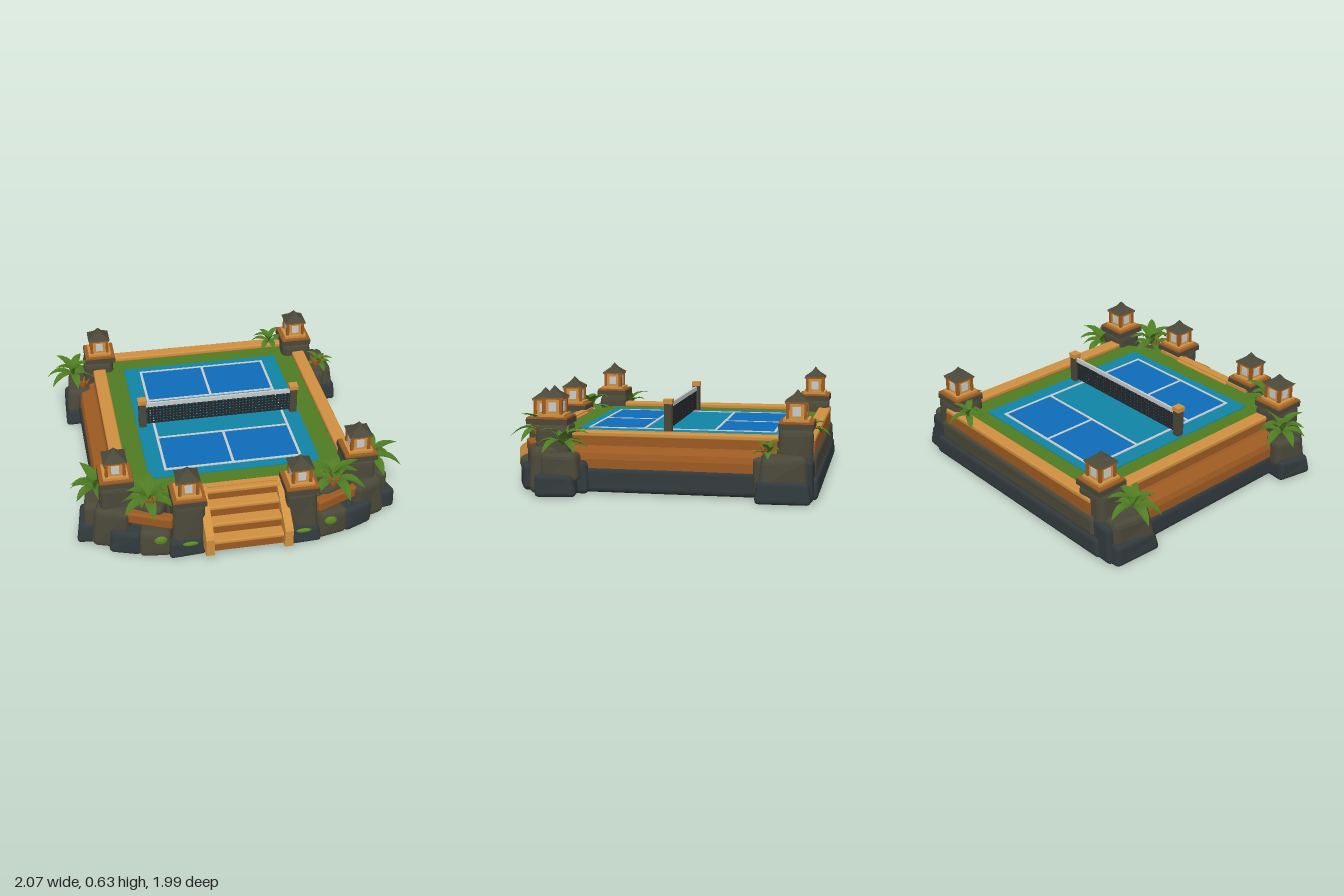
import * as THREE from 'three';
import { RoundedBoxGeometry } from 'three/addons/geometries/RoundedBoxGeometry.js';

const mat = (name, color, side = THREE.FrontSide) => {
  const m = new THREE.MeshStandardMaterial({ color, side });
  m.name = name;
  return m;
};

export function createModel() {
  const root = new THREE.Group();
  root.name = 'courtDiorama';
  const lightWood = mat('lightWood', 0xcf9040), darkWood = mat('darkWood', 0x9c5a22);
  const stone = mat('stone', 0x4a4839), darkStone = mat('darkStone', 0x323a3d);
  const green = mat('green', 0x4f7c22, THREE.DoubleSide), moss = mat('moss', 0x5f8c22);
  const teal = mat('teal', 0x1084a6), blue = mat('blue', 0x0e6cba);
  const white = mat('white', 0xc8cccc), netBlack = mat('netBlack', 0x24282b);

  let seed = 7;
  const rand = () => (seed = (seed * 16807) % 2147483647) / 2147483647;

  const add = (name, geo, m, x = 0, y = 0, z = 0, parent = root) => {
    const mesh = new THREE.Mesh(geo, m);
    mesh.name = name;
    mesh.position.set(x, y, z);
    parent.add(mesh);
    return mesh;
  };
  // box given by its lower and upper height
  const box = (name, m, x, z, w, d, y0, y1, parent = root) =>
    add(name, new THREE.BoxGeometry(w, y1 - y0, d), m, x, (y0 + y1) / 2, z, parent);
  // horizontal slab from a plan outline of [x, z] points
  const slab = (name, m, pts, y0, y1) => {
    const s = new THREE.Shape(pts.map(([x, z]) => new THREE.Vector2(x, -z)));
    const g = new THREE.ExtrudeGeometry(s, { depth: y1 - y0, bevelEnabled: false });
    return add(name, g.rotateX(-Math.PI / 2), m, 0, y0, 0);
  };
  // worn boulder: rounded block, tapered and gently warped
  const rock = (name, m, x, z, w, d, y0, y1, turn = 0, taper = 0.1) => {
    const h = y1 - y0;
    const g = new RoundedBoxGeometry(w, h, d, 2, Math.min(w, h, d) * 0.2);
    const p = g.attributes.position;
    const ph = rand() * 6;
    for (let i = 0; i < p.count; i++) {
      const a = p.getX(i), b = p.getY(i), c = p.getZ(i);
      const k = 1 - taper * (b / h + 0.5);
      p.setXYZ(i, a * k + 0.007 * Math.sin(9 * b + 13 * c + ph),
        b + (b > 0 ? 0.008 * Math.sin(11 * a + 9 * c + ph) : 0),
        c * k + 0.007 * Math.sin(12 * a + 10 * b + ph));
    }
    g.computeVertexNormals();
    add(name, g, m, x, (y0 + y1) / 2, z).rotation.y = turn;
  };

  // foundation
  slab('foundation', darkStone, [[-0.76, -0.86], [0.72, -0.86], [0.72, 0.6], [0.45, 0.8],
    [-0.45, 0.8], [-0.76, 0.6]], 0.01, 0.2);
  slab('innerFill', stone, [[-0.7, -0.86], [0.7, -0.86], [0.7, 0.58], [0.45, 0.74],
    [-0.45, 0.74], [-0.7, 0.58]], 0.2, 0.3);
  rock('rightBase', darkStone, -0.77, -0.05, 0.16, 1.4, 0.005, 0.155, 0, 0.03);
  rock('leftBase', darkStone, 0.72, -0.05, 0.14, 1.4, 0.005, 0.155, 0, 0.03);
  rock('backBaseLower', darkStone, 0, -0.85, 1.6, 0.17, 0.005, 0.14, 0, 0.02);
  rock('backBaseUpper', stone, 0, -0.85, 1.5, 0.15, 0.12, 0.26, 0, 0.02);
  const under = new THREE.Shape();
  under.absellipse(0, 0, 0.52, 0.57, 0, 0.001);
  add('undersidePanel', new RoundedBoxGeometry(1.06, 1.14, 0.008, 3, 0.004).rotateX(Math.PI / 2), teal, 0, 0.006, -0.05);

  // playing surface
  slab('turf', green, [[-0.68, -0.86], [0.68, -0.86], [0.68, 0.56], [0.42, 0.72],
    [-0.42, 0.72], [-0.68, 0.56]], 0.29, 0.328);
  box('courtSurround', teal, 0, -0.085, 1.05, 1.27, 0.325, 0.332);
  for (const [z0, z1] of [[-0.655, -0.295], [0.14, 0.48]]) {
    box('serviceArea', blue, 0, (z0 + z1) / 2, 0.83, z1 - z0, 0.33, 0.335);
    box('centreLine', white, 0, (z0 + z1) / 2, 0.016, z1 - z0, 0.333, 0.338);
    for (const z of [z0, z1]) box('crossLine', white, 0, z, 0.85, 0.016, 0.333, 0.338);
  }
  for (const s of [-1, 1]) box('sideLine', white, s * 0.417, -0.087, 0.016, 1.15, 0.333, 0.338);

  // net and posts
  const net = new THREE.Group();
  net.name = 'net';
  net.position.z = -0.02;
  root.add(net);
  for (let i = 0; i <= 44; i++) box('netCord', netBlack, -0.47 + i * 0.94 / 44, 0, 0.012, 0.006, 0.345, 0.475, net);
  for (let i = 0; i <= 6; i++) box('netCord', netBlack, 0, 0, 0.95, 0.006, 0.345 + i * 0.02, 0.356 + i * 0.02, net);
  box('netBand', white, 0, 0, 0.95, 0.014, 0.47, 0.497, net);
  for (const s of [-1, 1]) {
    box('netPost', stone, s * 0.488, 0, 0.045, 0.045, 0.32, 0.505, net);
    box('postCap', lightWood, s * 0.488, 0, 0.055, 0.055, 0.5, 0.528, net);
  }

  // timber walls with a flared lower plank and a pale cap
  const wall = (name, foot, dir) => {
    const s = new THREE.Shape([[0.65, 0.14], [foot, 0.14], [foot, 0.2], [foot - 0.012, 0.235],
      [0.742, 0.262], [0.732, 0.275], [0.732, 0.33], [0.65, 0.33]].map(([x, y]) => new THREE.Vector2(x, y)));
    const g = new THREE.ExtrudeGeometry(s, { depth: 1.24, bevelEnabled: false }).translate(0, 0, -0.62);
    add(name, g, darkWood, 0, 0, -0.08).rotation.y = dir < 0 ? Math.PI : 0;
    add(name + 'Cap', new RoundedBoxGeometry(0.085, 0.032, 1.3, 2, 0.01), lightWood, dir * 0.692, 0.341, -0.08);
  };
  wall('leftWall', 0.78, 1);
  wall('rightWall', 0.84, -1);
  box('backWall', darkWood, 0, -0.88, 1.4, 0.07, 0.22, 0.33);
  add('backWallCap', new RoundedBoxGeometry(1.4, 0.032, 0.08, 2, 0.01), lightWood, 0, 0.341, -0.877);

  // entrance steps and sloping rails
  for (const [top, z] of [[0.34, 0.75], [0.272, 0.82], [0.2, 0.89], [0.128, 0.96]]) {
    box('stepBody', darkWood, 0, (0.68 + z - 0.008) / 2, 0.46, z - 0.008 - 0.68, 0.055, top - 0.02);
    add('stepTread', new RoundedBoxGeometry(0.46, 0.028, 0.085, 2, 0.01), lightWood, 0, top - 0.012, z - 0.042);
  }
  box('frontSill', lightWood, 0, 0.7, 0.8, 0.04, 0.28, 0.348);
  const railShape = new THREE.Shape([[0.7, 0.055], [0.99, 0.055], [0.99, 0.165], [0.975, 0.185],
    [0.72, 0.35], [0.7, 0.35]].map(([z, y]) => new THREE.Vector2(z, y)));
  for (const s of [-1, 1]) {
    const g = new THREE.ExtrudeGeometry(railShape, { depth: 0.05, bevelEnabled: false });
    add('stairRail', g.translate(0, 0, -0.025).rotateY(-Math.PI / 2), lightWood, s * 0.235, 0, 0);
  }

  // lantern: stone plinth, timber tray, windowed box, pointed roof
  const lantern = (x, y, z) => {
    const g = new THREE.Group();
    g.name = 'lantern';
    g.position.set(x, y, z);
    root.add(g);
    box('plinth', stone, 0, 0, 0.2, 0.2, -0.03, 0.004, g);
    box('tray', darkWood, 0, 0, 0.195, 0.195, 0.002, 0.014, g);
    box('trayTop', lightWood, 0, 0, 0.15, 0.15, 0.012, 0.03, g);
    box('lanternBox', lightWood, 0, 0, 0.105, 0.105, 0.03, 0.12, g);
    for (let i = 0; i < 4; i++) {
      const side = new THREE.Group();
      side.name = 'lanternSide';
      side.rotation.y = i * Math.PI / 2;
      g.add(side);
      box('window', white, 0, 0.054, 0.046, 0.006, 0.045, 0.098, side);
      box('cornerPost', darkWood, 0.052, 0.052, 0.018, 0.018, 0.03, 0.12, side);
    }
    box('eave', darkWood, 0, 0, 0.135, 0.135, 0.116, 0.128, g);
    const roof = new THREE.CylinderGeometry(0.034, 0.1, 0.035, 4).rotateY(Math.PI / 4).toNonIndexed();
    roof.computeVertexNormals();
    add('roof', roof, stone, 0, 0.144, 0, g);
    const tip = new THREE.ConeGeometry(0.036, 0.035, 4).rotateY(Math.PI / 4).toNonIndexed();
    tip.computeVertexNormals();
    add('roofTip', tip, stone, 0, 0.177, 0, g);
  };

  // arching leaves around a centre
  const leaf = (len, wide) => {
    const g = new THREE.PlaneGeometry(1, 1, 2, 6);
    const p = g.attributes.position;
    for (let i = 0; i < p.count; i++) {
      const t = p.getY(i) + 0.5, u = p.getX(i) * 2;
      const w = wide * Math.pow(Math.sin(Math.PI * Math.min(1, 0.06 + t * 0.94)), 0.8);
      p.setXYZ(i, u * w, len * (0.85 * t - 0.95 * t * t) + Math.abs(u) * w * 0.3, len * t);
    }
    g.computeVertexNormals();
    return g;
  };
  const plant = (x, y, z, r, n = 11) => {
    const g = new THREE.Group();
    g.name = 'plant';
    g.position.set(x, y, z);
    root.add(g);
    for (let i = 0; i < n; i++) {
      const l = add('leaf', leaf(r * (0.8 + 0.3 * rand()), r * 0.17), green, 0, 0, 0, g);
      l.rotation.set(i % 2 ? -0.5 - 0.3 * rand() : 0.1 * rand(), i / n * Math.PI * 2 + 0.3 * rand(), 0, 'YXZ');
    }
  };
  const blossom = (x, y, z) => {
    for (let i = 0; i < 5; i++) {
      const a = i * 1.257;
      const c = add('blossom', new THREE.ConeGeometry(0.018, 0.07, 5), darkWood, x + 0.03 * Math.cos(a), y, z + 0.03 * Math.sin(a));
      c.rotation.set(0.6 * Math.sin(a), 0, -0.6 * Math.cos(a));
    }
  };

  for (const s of [-1, 1]) {
    // gate pillars
    rock('gatePillar', stone, s * 0.335, 0.79, 0.2, 0.19, 0.02, 0.35, 0, 0.08);
    rock('gateFooting', darkStone, s * 0.35, 0.82, 0.22, 0.19, 0, 0.11);
    lantern(s * 0.335, 0.372, 0.79);
    // front corner pillars and boulders
    rock('frontPillar', stone, s * 0.735, 0.61, 0.22, 0.22, 0.02, 0.41, 0, 0.14);
    rock('frontBoulder', stone, s * 0.75, 0.66, 0.24, 0.22, 0, 0.27, s * 0.4);
    rock('frontBoulder', darkStone, s * 0.87, 0.57, 0.19, 0.24, 0, 0.13, s * 0.15);
    rock('frontBoulder', stone, s * 0.84, 0.55, 0.17, 0.22, 0.08, 0.25, s * 0.1);
    rock('frontBoulder', darkStone, s * 0.68, 0.75, 0.2, 0.18, 0, 0.16, s * 0.4);
    rock('frontBoulder', stone, s * 0.52, 0.8, 0.2, 0.18, 0, 0.18, s * 0.2);
    rock('frontBoulder', stone, s * 0.57, 0.7, 0.28, 0.16, 0.1, 0.3, s * 0.5);
    rock('frontBoulder', darkStone, s * 0.75, 0.47, 0.17, 0.14, 0, 0.2);
    const beam = add('frontBeam', new RoundedBoxGeometry(0.3, 0.075, 0.07, 2, 0.015), darkWood, s * 0.565, 0.226, 0.79);
    beam.rotation.y = s * 0.42;
    // back corner pillars and boulders
    rock('backPillar', stone, s * 0.69, -0.805, 0.22, 0.22, 0.02, 0.41, 0, 0.1);
    rock('backBoulder', darkStone, s * 0.84, -0.755, 0.2, 0.32, 0, 0.13);
    rock('backBoulder', stone, s * 0.82, -0.75, 0.19, 0.28, 0.08, 0.26, s * 0.1);
    rock('backBoulder', darkStone, s * 0.74, -0.85, 0.28, 0.15, 0, 0.24);
    rock('backBoulder', stone, s * 0.78, -0.64, 0.14, 0.13, 0.02, 0.24);
    for (const z of [0.61, -0.81]) lantern(s * (z > 0 ? 0.735 : 0.68), 0.432, z);
    // planting
    plant(s * 0.85, 0.29, 0.53, 0.18, 12);
    plant(s * 0.56, 0.31, 0.74, 0.19, 12);
    blossom(s * 0.55, 0.34, 0.77);
    blossom(s * 0.81, 0.31, -0.65);
    // moss patches
    for (const [x, y, z, w, h] of [[0.34, 0.1, 0.918, 0.1, 0.03], [0.51, 0.13, 0.892, 0.08, 0.06]]) {
      const m = add('mossPatch', new THREE.SphereGeometry(0.5, 8, 6), moss, s * x, y, z);
      m.scale.set(w, h, 0.02);
    }
  }
  plant(-0.87, 0.32, -0.74, 0.17, 12);
  plant(0.52, 0.36, -0.87, 0.13, 9);
  plant(0.83, 0.27, -0.66, 0.12, 8);
  return root;
}
